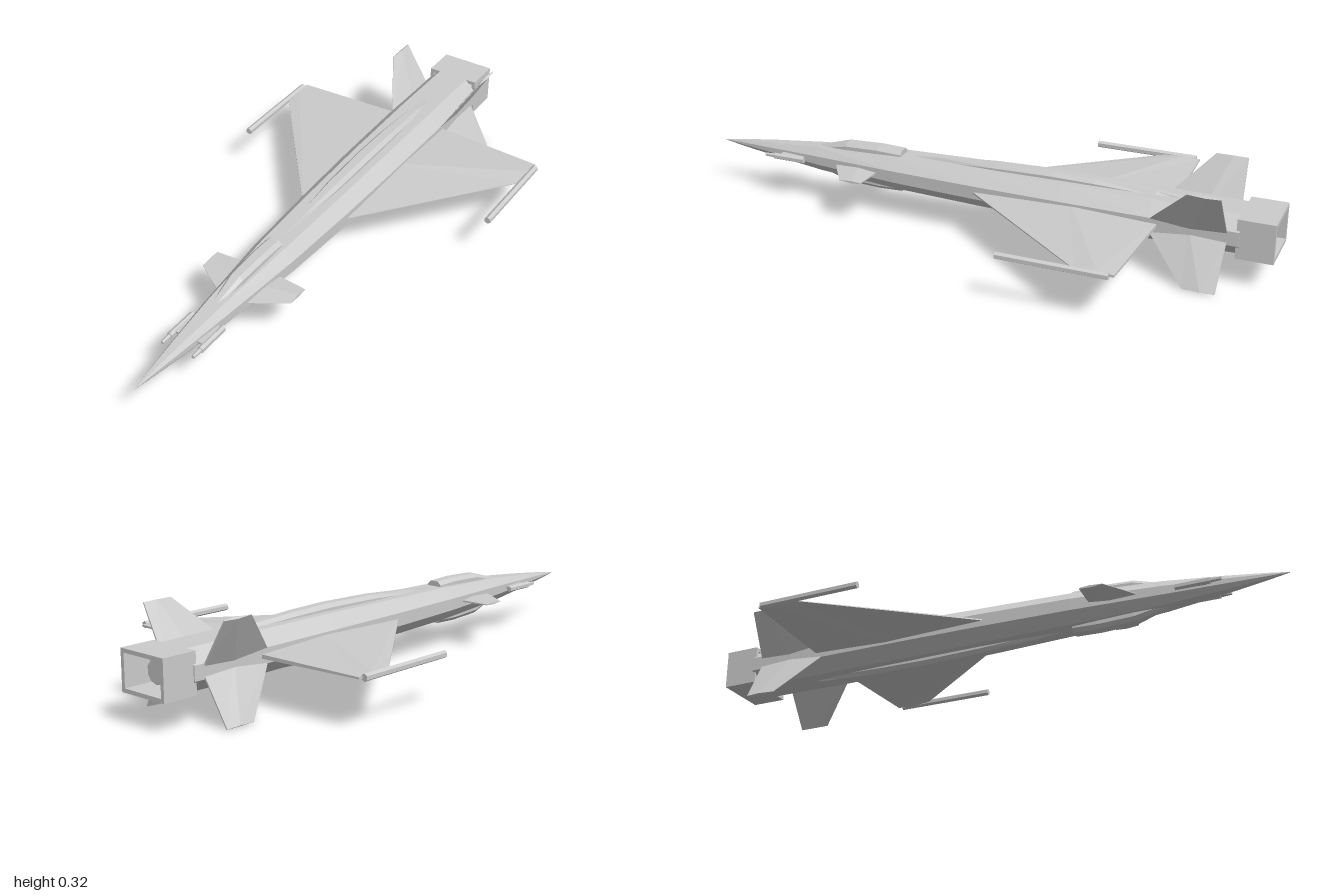
import * as THREE from 'three';

const mat = new THREE.MeshStandardMaterial({ color: 0xcccccc, flatShading: true, side: THREE.DoubleSide });
const Y = 0.163; // height of the fuselage axis

// Skin a list of rings (counter-clockwise seen from +z, ordered from -z to +z) and cap both ends.
function loft(name, rings) {
  const n = rings[0].length, pos = [], idx = [];
  rings.forEach(r => r.forEach(p => pos.push(...p)));
  for (let i = 0; i < rings.length - 1; i++) {
    for (let j = 0; j < n; j++) {
      const a = i * n + j, b = i * n + (j + 1) % n;
      idx.push(a, b, b + n, a, b + n, a + n);
    }
  }
  const last = (rings.length - 1) * n;
  for (let j = 1; j < n - 1; j++) idx.push(0, j + 1, j, last, last + j, last + j + 1);
  let geo = new THREE.BufferGeometry();
  geo.setAttribute('position', new THREE.Float32BufferAttribute(pos, 3));
  geo.setIndex(idx);
  geo = geo.toNonIndexed();
  geo.computeVertexNormals();
  return named(name, geo);
}

function named(name, geo) {
  const m = new THREE.Mesh(geo, mat);
  m.name = name;
  return m;
}

// Chamfered fuselage section: half width w, half height h
function bodyRing([z, w, h]) {
  const q = [[1, 0.36], [0.56, 1]];
  const upper = [...q, ...q.slice().reverse().map(([x, y]) => [-x, y])];
  return [...upper, ...upper.map(([x, y]) => [-x, -y])].map(([x, y]) => [x * w, y * h, z]);
}

// Raised fairing section: half width w, top height h, foot buried in the body
function fairingRing([z, w, h]) {
  const s = Math.min(0.035, h * 0.6);
  return [[w, h - s], [w, h - s * 0.35], [w * 0.55, h], [-w * 0.55, h], [-w, h - s * 0.35], [-w, h - s]]
    .map(([x, y]) => [x, y, z]);
}

// Thin surface reaching outwards along +x; stations are [span, leading z, trailing z, half thickness]
function surface(name, stations) {
  const rings = stations.map(([s, zl, zt, t]) => {
    const at = k => -(zl + (zt - zl) * k);
    return [[at(1), -t * 0.4, s], [at(1), t * 0.4, s], [at(0.55), t, s],
      [at(0), t * 0.15, s], [at(0), -t * 0.15, s], [at(0.55), -t, s]];
  });
  const m = loft(name, rings);
  m.geometry.rotateY(Math.PI / 2);
  return m;
}

// Rod lying along z
function rod(name, r, z0, z1, x, y, sides, noseR = r) {
  const geo = new THREE.CylinderGeometry(noseR, r, z1 - z0, sides).rotateX(Math.PI / 2);
  geo.translate(x, y, (z0 + z1) / 2);
  return named(name, geo);
}

export function createModel() {
  const model = new THREE.Group();
  model.name = 'aircraft';
  const craft = new THREE.Group();
  craft.name = 'airframe';
  craft.position.y = Y;
  model.add(craft);

  // Fuselage with long pointed nose
  craft.add(loft('fuselage', [
    [-0.89, 0.097, 0.066], [-0.6, 0.1, 0.068], [-0.3, 0.097, 0.067], [0, 0.089, 0.062],
    [0.3, 0.075, 0.056], [0.6, 0.048, 0.042], [0.8, 0.026, 0.024], [0.93, 0.01, 0.01], [1, 0.001, 0.001],
  ].map(bodyRing)));

  // Spine and canopy, repeated upside down on the belly
  const spine = [[-0.76, 0.008, 0.058], [-0.6, 0.02, 0.077], [-0.4, 0.027, 0.086], [-0.25, 0.028, 0.088],
    [-0.05, 0.025, 0.082], [0.15, 0.014, 0.068], [0.26, 0.006, 0.056]];
  const canopy = [[0.29, 0.028, 0.074], [0.38, 0.028, 0.077], [0.5, 0.025, 0.072], [0.62, 0.012, 0.038]];
  for (const [side, roll] of [['upper', 0], ['lower', Math.PI]]) {
    const a = loft(side + 'Spine', spine.map(fairingRing));
    const b = loft(side + 'Canopy', canopy.map(fairingRing));
    a.rotation.z = b.rotation.z = roll;
    craft.add(a, b);
  }

  // Wings, foreplanes, wingtip rods and nose pods; the other side is a half turn
  for (const [side, roll] of [['left', 0], ['right', Math.PI]]) {
    const half = new THREE.Group();
    half.name = side + 'Wings';
    half.rotation.z = roll;
    half.add(
      surface('deltaWing', [[0.06, 0.035, -0.631, 0.017], [0.475, -0.49, -0.615, 0.008]]),
      surface('foreplane', [[0.04, 0.53, 0.365, 0.008], [0.085, 0.505, 0.366, 0.007], [0.168, 0.45, 0.372, 0.004]]),
      rod('wingtipRod', 0.012, -0.6, -0.245, 0.482, 0, 6),
    );
    craft.add(half);
    const x = roll ? -0.057 : 0.057, pod = new THREE.Group();
    pod.name = side + 'NosePod';
    const strut = new THREE.BoxGeometry(0.035, 0.008, 0.09);
    strut.translate(x * 0.75, 0, 0.7);
    pod.add(rod('podBody', 0.011, 0.65, 0.765, x, -0.004, 6), rod('podTip', 0.008, 0.765, 0.8, x, -0.004, 6, 0.006),
      named('podStrut', strut));
    craft.add(pod);
  }

  // Four tail fins in an X
  for (const sx of [1, -1]) {
    for (const sy of [1, -1]) {
      const fin = surface('tailFin', [[-0.01, -0.575, -0.853, 0.007], [0.184, -0.74, -0.845, 0.005]]);
      fin.position.x = sx * 0.085;
      fin.rotation.z = Math.atan2(sy * Math.sqrt(3), sx);
      craft.add(fin);
    }
  }

  // Square exhaust shroud, open to the rear, with a round nozzle inside
  const rect = (P, w, h) => new P([[-w, -h], [w, -h], [w, h], [-w, h]].map(p => new THREE.Vector2(...p)));
  const frame = rect(THREE.Shape, 0.093, 0.066);
  frame.holes.push(rect(THREE.Path, 0.08, 0.053));
  const shroud = new THREE.ExtrudeGeometry(frame, { depth: 0.12, bevelEnabled: false });
  shroud.translate(0, 0, -1);
  craft.add(named('exhaustShroud', shroud));
  craft.add(rod('exhaustNozzle', 0.038, -0.95, -0.88, 0, 0, 10, 0.048));

  return model;
}
